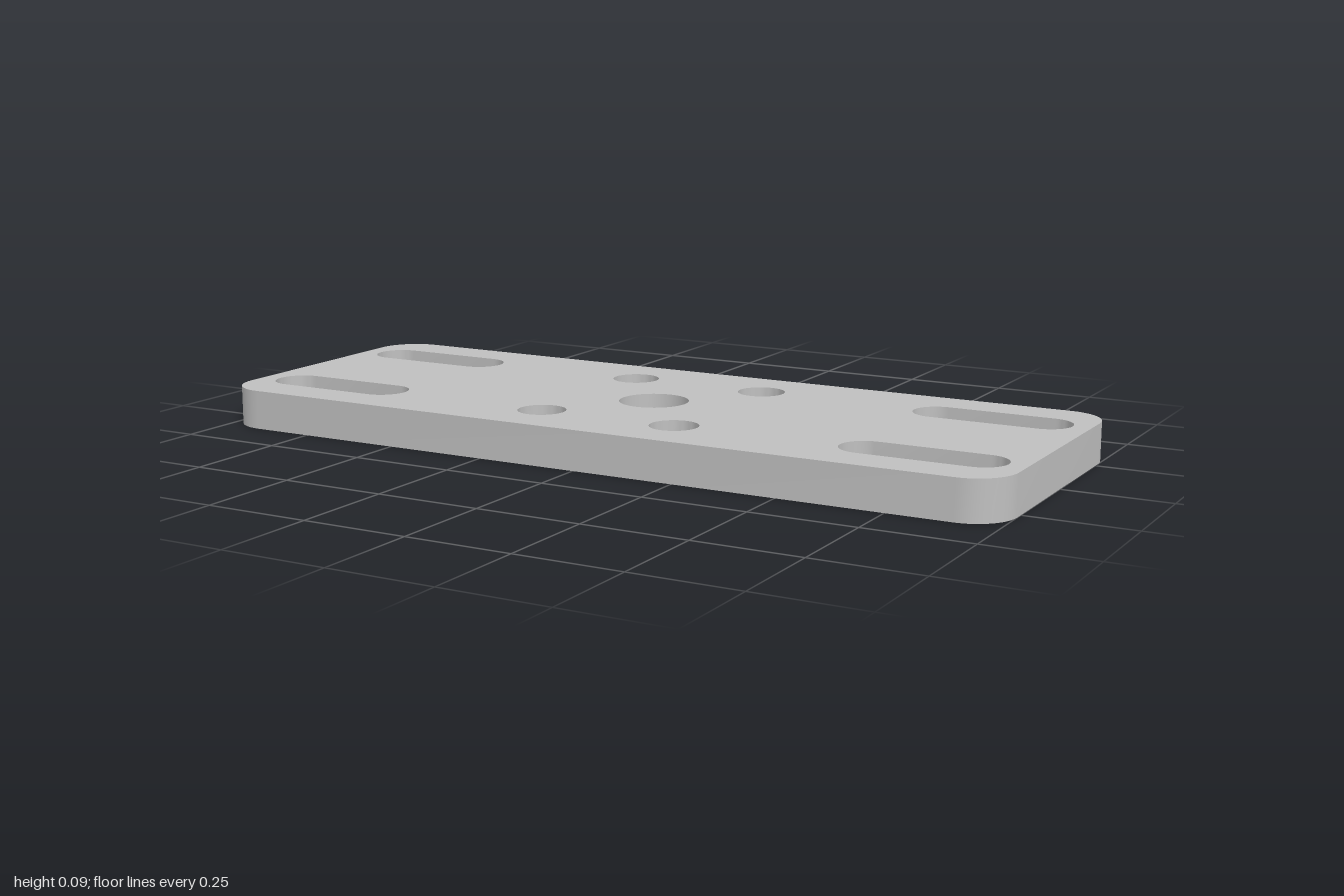
import * as THREE from 'three';
import { mergeGeometries, toCreasedNormals } from 'three/addons/utils/BufferGeometryUtils.js';

const HEIGHT = 0.094;
const BORE_TOP = 0.055; // ceiling of the counterbores underneath
const SLOT_FLOOR = 0.047; // ledge of the recessed slots

// Counter-clockwise outline of a rounded rectangle; hx, hy are half distances
// between corner centres, so zeros give a slot or a circle.
function outline(cx, cy, hx, hy, r, steps = 12) {
  const points = [];
  [[1, 1], [-1, 1], [-1, -1], [1, -1]].forEach(([sx, sy], corner) => {
    for (let i = 0; i <= steps; i++) {
      const a = (corner + i / steps) * Math.PI / 2;
      const p = new THREE.Vector2(cx + sx * hx + r * Math.cos(a), cy + sy * hy + r * Math.sin(a));
      const last = points[points.length - 1];
      if (!last || last.distanceTo(p) > 1e-5) points.push(p);
    }
  });
  if (points[0].distanceTo(points[points.length - 1]) < 1e-5) points.pop();
  return points;
}

// Flat horizontal face with holes, looking up or down
function face(points, holes, y, up) {
  const shape = new THREE.Shape(points);
  shape.holes = holes.map((h) => new THREE.Path(h));
  const geometry = new THREE.ShapeGeometry(shape).rotateX(-Math.PI / 2);
  if (!up) {
    const index = geometry.index.array;
    for (let i = 0; i < index.length; i += 3) [index[i], index[i + 1]] = [index[i + 1], index[i]];
    geometry.computeVertexNormals();
  }
  geometry.translate(0, y, 0);
  const flat = geometry.toNonIndexed();
  flat.deleteAttribute('uv');
  return flat;
}

// Vertical wall along an outline, facing outward or into a hole
function wall(points, y0, y1, inward) {
  const loop = inward ? [...points].reverse() : points;
  const positions = [];
  loop.forEach((a, i) => {
    const b = loop[(i + 1) % loop.length];
    positions.push(a.x, y0, -a.y, b.x, y0, -b.y, b.x, y1, -b.y);
    positions.push(a.x, y0, -a.y, b.x, y1, -b.y, a.x, y1, -a.y);
  });
  const geometry = new THREE.BufferGeometry();
  geometry.setAttribute('position', new THREE.Float32BufferAttribute(positions, 3));
  geometry.computeVertexNormals();
  return toCreasedNormals(geometry, 0.6);
}

export function createModel() {
  const group = new THREE.Group();
  group.name = 'mountingPlate';
  const metal = new THREE.MeshStandardMaterial({ color: 0xbfbfbf });
  metal.name = 'grey metal';

  const add = (name, geometries) => {
    const mesh = new THREE.Mesh(mergeGeometries(geometries), metal);
    mesh.name = name;
    group.add(mesh);
  };

  const plate = outline(0, 0, 0.9, 0.271, 0.1);
  const centre = outline(0, 0, 0, 0, 0.083);
  const topHoles = [centre];
  const bottomHoles = [centre];

  for (const sx of [-1, 1]) {
    for (const sz of [-1, 1]) {
      const side = (sz < 0 ? 'front' : 'back') + (sx < 0 ? 'Right' : 'Left');

      // Slot with a wider recess on top
      const recess = outline(sx * 0.767, sz * 0.209, 0.129, 0, 0.061);
      const slot = outline(sx * 0.767, sz * 0.209, 0.129, 0, 0.034);
      add(side + 'Slot', [
        wall(recess, SLOT_FLOOR, HEIGHT, true),
        face(recess, [slot], SLOT_FLOOR, true),
        wall(slot, 0, SLOT_FLOOR, true),
      ]);

      // Screw hole counterbored from below
      const hole = outline(sx * 0.175, sz * 0.22, 0, 0, 0.057);
      const bore = outline(sx * 0.175, sz * 0.22, 0, 0, 0.103);
      add(side + 'ScrewHole', [
        wall(hole, BORE_TOP, HEIGHT, true),
        face(bore, [hole], BORE_TOP, false),
        wall(bore, 0, BORE_TOP, true),
      ]);

      topHoles.push(recess, hole);
      bottomHoles.push(slot, bore);
    }
  }

  add('centreHole', [wall(centre, 0, HEIGHT, true)]);
  add('plateBody', [
    face(plate, topHoles, HEIGHT, true),
    face(plate, bottomHoles, 0, false),
    wall(plate, 0, HEIGHT, false),
  ]);
  return group;
}
